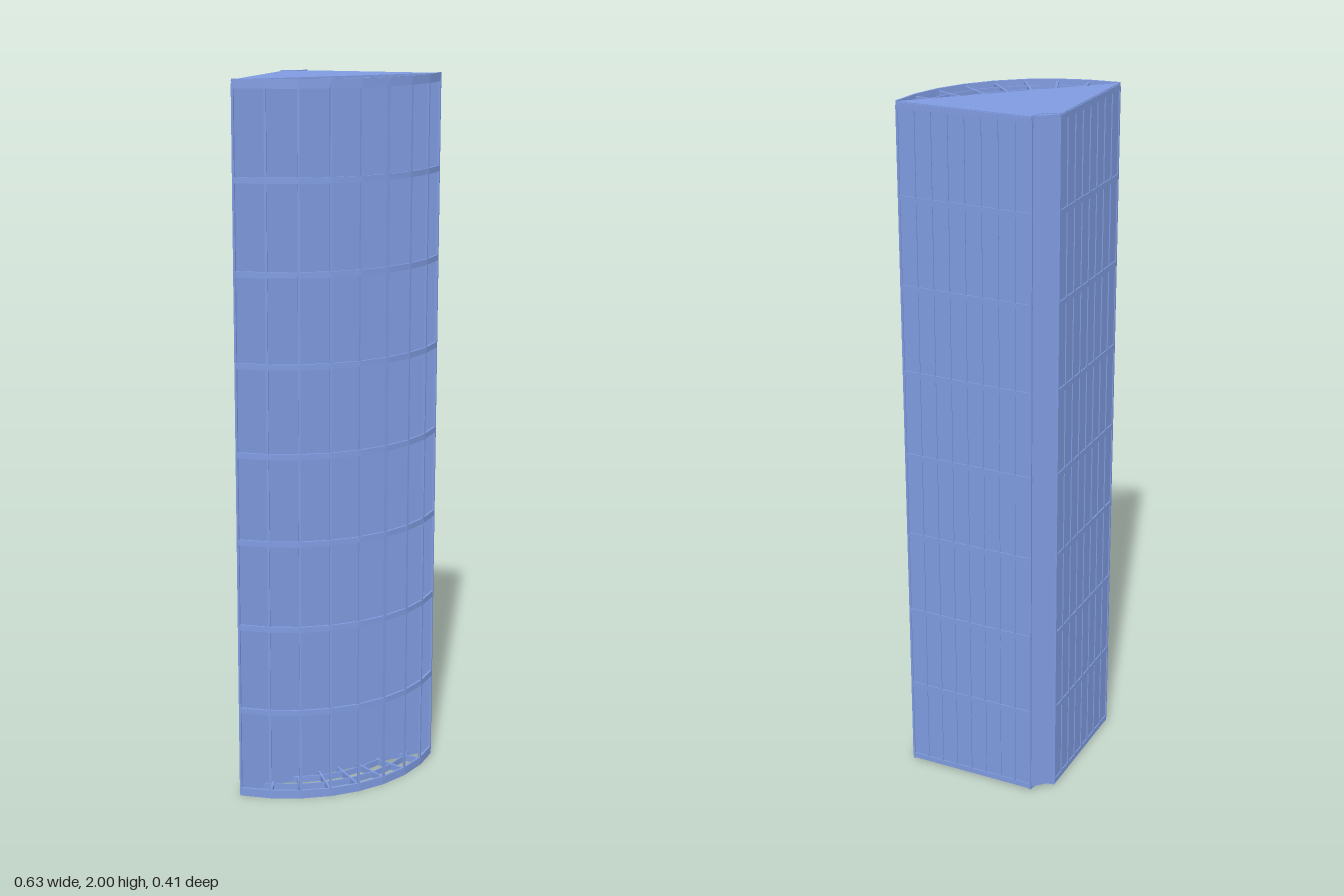
import * as THREE from 'three';
import { mergeGeometries } from 'three/addons/utils/BufferGeometryUtils.js';

const N = 8;                       // divisions around, outward and upward
const APEX = -0.24, R0 = 0.054, R1 = 0.437;
const LOW = 0.012, HIGH = 1.988;   // centre heights of the lowest and highest bars

const angle = (i) => -Math.PI / 4 + (i / N) * Math.PI / 2;
const radius = (j) => R0 + (R1 - R0) * j / N;
const level = (k) => LOW + (HIGH - LOW) * k / N;
const point = (i, j, y) => new THREE.Vector3(
  radius(j) * Math.sin(angle(i)), y, APEX + radius(j) * Math.cos(angle(i)));

// Horizontal bar between two points
function bar(a, b, width, height) {
  const g = new THREE.BoxGeometry(a.distanceTo(b) + width * 0.5, height, width);
  g.rotateY(Math.atan2(-(b.z - a.z), b.x - a.x));
  const m = a.clone().add(b).multiplyScalar(0.5);
  return g.translate(m.x, m.y, m.z);
}

// Vertical post facing outward at grid position i, j
function post(i, j) {
  const g = new THREE.BoxGeometry(0.006, HIGH - LOW, 0.006);
  const p = point(i, j, 1);
  return g.rotateY(angle(i)).translate(p.x, p.y, p.z);
}

// Arc of straight bars at ring j
function arc(j, y, width, height) {
  const out = [];
  for (let i = 0; i < N; i++) out.push(bar(point(i, j, y), point(i + 1, j, y), width, height));
  return out;
}

export function createModel() {
  const group = new THREE.Group();
  const material = new THREE.MeshStandardMaterial({ color: 0x7f9be0, flatShading: true });
  const add = (name, geos) => {
    const mesh = new THREE.Mesh(Array.isArray(geos) ? mergeGeometries(geos) : geos, material);
    mesh.name = name;
    group.add(mesh);
  };

  // Solid wedge behind the curved front
  const back = point(N, 0, 0), front = point(N, N, 0);
  const outline = new THREE.Shape([
    new THREE.Vector2(-front.x, -front.z), new THREE.Vector2(front.x, -front.z),
    new THREE.Vector2(back.x, -back.z), new THREE.Vector2(-back.x, -back.z)]);
  const wedge = new THREE.ExtrudeGeometry(outline, { depth: 1.99, bevelEnabled: false });
  add('wedgeBody', wedge.rotateX(-Math.PI / 2).translate(0, 0.008, 0));

  // Curved front and back lattices
  for (const [name, j] of [['frontLattice', N], ['backLattice', 0]]) {
    const parts = [];
    for (let i = 0; i <= N; i++) parts.push(post(i, j));
    for (let k = 0; k <= N; k++) {
      const edge = k === 0 || k === N;
      parts.push(...arc(j, level(k), 0.006, edge ? 0.024 : 0.016));
    }
    add(name, parts);
  }

  // Flat side lattices
  for (const [name, i] of [['leftLattice', N], ['rightLattice', 0]]) {
    const parts = [];
    for (let j = 1; j < N; j++) parts.push(post(i, j));
    for (let k = 0; k <= N; k++) {
      parts.push(bar(point(i, 0, level(k)), point(i, N, level(k)), 0.006, 0.016));
    }
    add(name, parts);
  }

  // Fan-shaped grids at the top and bottom
  for (const [name, y] of [['topGrid', HIGH - 0.003], ['bottomGrid', LOW]]) {
    const parts = [];
    for (let i = 1; i < N; i++) parts.push(bar(point(i, 0, y), point(i, N, y), 0.006, 0.018));
    for (let j = 1; j < N; j++) parts.push(...arc(j, y, 0.004, 0.018));
    add(name, parts);
  }
  return group;
}
